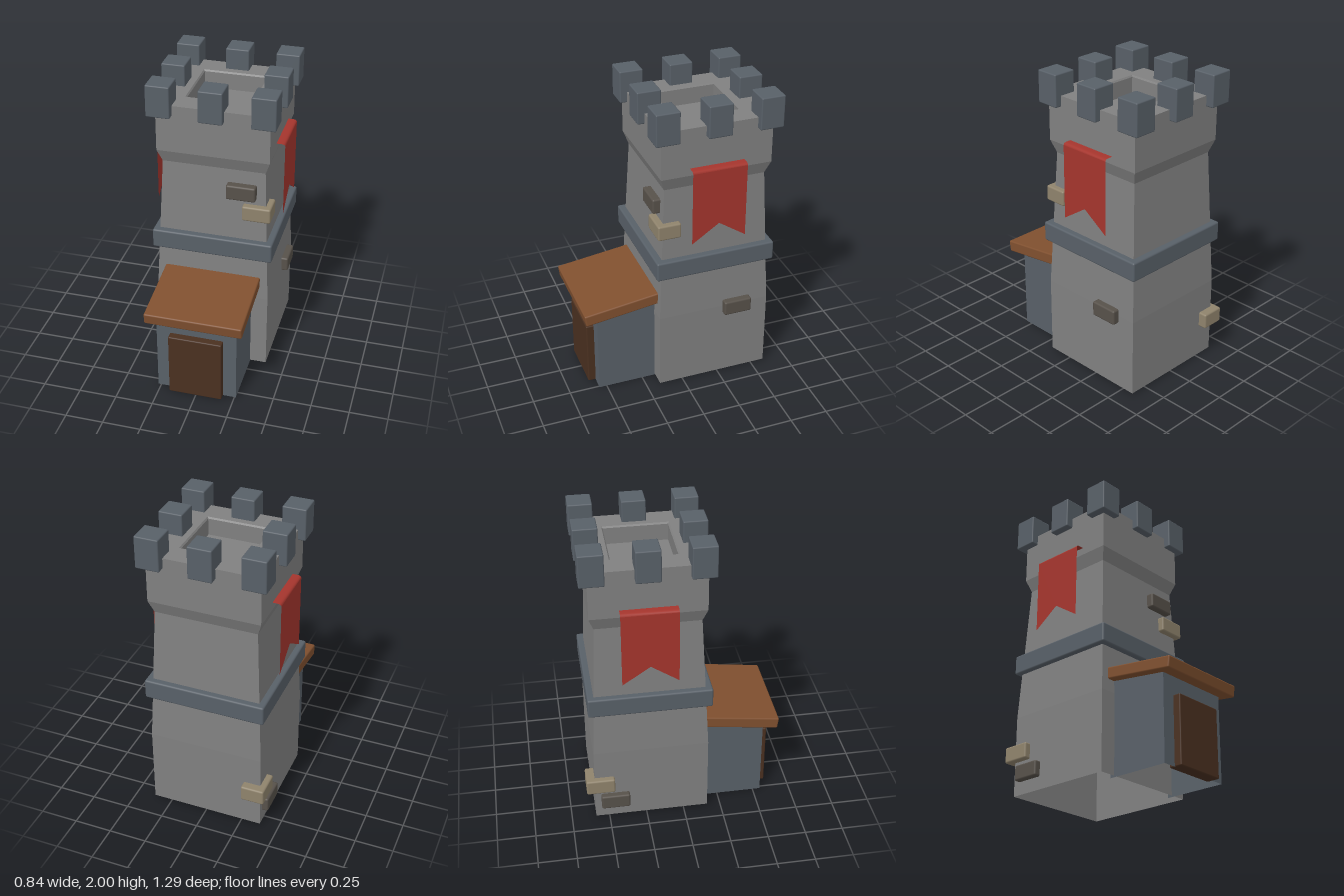
import * as THREE from 'three';
import { RoundedBoxGeometry } from 'three/addons/geometries/RoundedBoxGeometry.js';

const CX = -0.005, CZ = -0.214; // tower axis

const mat = (color, extra = {}) => new THREE.MeshStandardMaterial({ color, ...extra });
const MATS = {
  wall: mat(0x808080, { flatShading: true, side: THREE.DoubleSide }),
  slate: mat(0x586068),
  annex: mat(0x586068, { flatShading: true, side: THREE.DoubleSide }),
  roof: mat(0x80502f),
  door: mat(0x4a3020),
  flag: mat(0xa5352d, { side: THREE.DoubleSide }),
  tan: mat(0x8f836c),
  dark: mat(0x57514a),
};

function add(parent, name, geometry, material) {
  const mesh = new THREE.Mesh(geometry, material);
  mesh.name = name;
  parent.add(mesh);
  return mesh;
}

// Softly bevelled block given by its min and max corners
function block(parent, name, [x0, y0, z0], [x1, y1, z1], material, bevel = 0.008) {
  const mesh = add(parent, name, new RoundedBoxGeometry(x1 - x0, y1 - y0, z1 - z0, 2, bevel), material);
  mesh.position.set((x0 + x1) / 2, (y0 + y1) / 2, (z0 + z1) / 2);
  return mesh;
}

// Square tower body: half-width profile swept round four sides, open below
function towerBody() {
  const profile = [[0.375, 0.015], [0.375, 0.54], [0.332, 1.46], [0.362, 1.545], [0.362, 1.86],
    [0.213, 1.86], [0.205, 1.85], [0.205, 1.74], [0, 1.74]];
  const points = profile.map(([h, y]) => new THREE.Vector2(h * Math.SQRT2, y));
  return new THREE.LatheGeometry(points, 4).rotateY(Math.PI / 4).translate(CX, 0, CZ);
}

// Porch walls: box with raised rear top edge, without bottom and rear faces
function porchWalls() {
  const g = new THREE.BoxGeometry(0.53, 0.575, 0.42);
  const p = g.attributes.position;
  for (let i = 0; i < p.count; i++) {
    if (p.getY(i) > 0 && p.getZ(i) < 0) p.setY(i, p.getY(i) + 0.055);
  }
  const index = Array.from(g.index.array);
  g.setIndex([...index.slice(0, 18), ...index.slice(24, 30)]);
  g.clearGroups();
  return g.translate(CX, 0.2925, 0.34);
}

// Swallowtail banner hanging on the +x side, with a strip back to the wall
function banner() {
  const group = new THREE.Group();
  group.name = 'banner';
  const w = 0.178;
  const shape = new THREE.Shape([[-w, 1.58], [-w, 1.09], [0, 1.21], [w, 1.09], [w, 1.58]]
    .map(([x, y]) => new THREE.Vector2(x, y)));
  add(group, 'bannerCloth', new THREE.ShapeGeometry(shape).rotateY(Math.PI / 2).translate(0.418, 0, 0), MATS.flag);

  // Fold curving from the wall over into the cloth
  const fold = new THREE.PlaneGeometry(1, 2 * w, 5, 1);
  const path = [[0.34, 1.595], [0.38, 1.595], [0.4, 1.595], [0.41, 1.592], [0.416, 1.587], [0.418, 1.58]];
  const p = fold.attributes.position;
  for (let i = 0; i < p.count; i++) {
    const [x, y] = path[i % 6];
    p.setXYZ(i, x, y, i < 6 ? -w : w);
  }
  fold.computeVertexNormals();
  add(group, 'bannerFold', fold, MATS.flag);
  return group;
}

export function createModel() {
  const model = new THREE.Group();
  model.name = 'watchtower';

  add(model, 'towerBody', towerBody(), MATS.wall);
  block(model, 'stoneBand', [-0.4, 0.845, -0.61], [0.392, 0.975, 0.185], MATS.slate, 0.012);

  // Battlements: three by three, without the middle one
  for (let i = -1; i <= 1; i++) {
    for (let j = -1; j <= 1; j++) {
      if (i === 0 && j === 0) continue;
      const x = CX - 0.003 + i * 0.331, z = CZ - 0.003 + j * 0.334, h = 0.077;
      block(model, 'merlon', [x - h, 1.79, z - h], [x + h, 2, z + h], MATS.slate);
    }
  }

  // Porch with door and sloping roof
  add(model, 'porchWalls', porchWalls(), MATS.annex);
  block(model, 'door', [-0.18, 0.005, 0.51], [0.173, 0.45, 0.6], MATS.door);
  const roof = block(model, 'porchRoof', [-0.323, 0.59, 0.1], [0.315, 0.667, 0.642], MATS.roof, 0.01);
  roof.position.set(CX, 0.632, 0.371);
  roof.rotation.x = 0.133;

  // Banners on both sides
  for (const turn of [0, Math.PI]) {
    const b = banner();
    b.position.set(CX, 0, CZ);
    b.rotation.y = turn;
    model.add(b);
  }

  // Protruding stones
  const stones = [
    [[0.085, 1.27, 0.02], [0.275, 1.37, 0.173], MATS.dark],
    [[0.19, 1.13, 0.02], [0.375, 1.232, 0.173], MATS.tan],
    [[0.26, 0.485, -0.462], [0.413, 0.585, -0.275], MATS.dark],
    [[-0.42, 0.235, -0.645], [-0.265, 0.34, -0.458], MATS.tan],
    [[-0.42, 0.1, -0.55], [-0.265, 0.2, -0.362], MATS.dark],
  ];
  for (const [min, max, material] of stones) block(model, 'wallStone', min, max, material, 0.012);

  return model;
}
